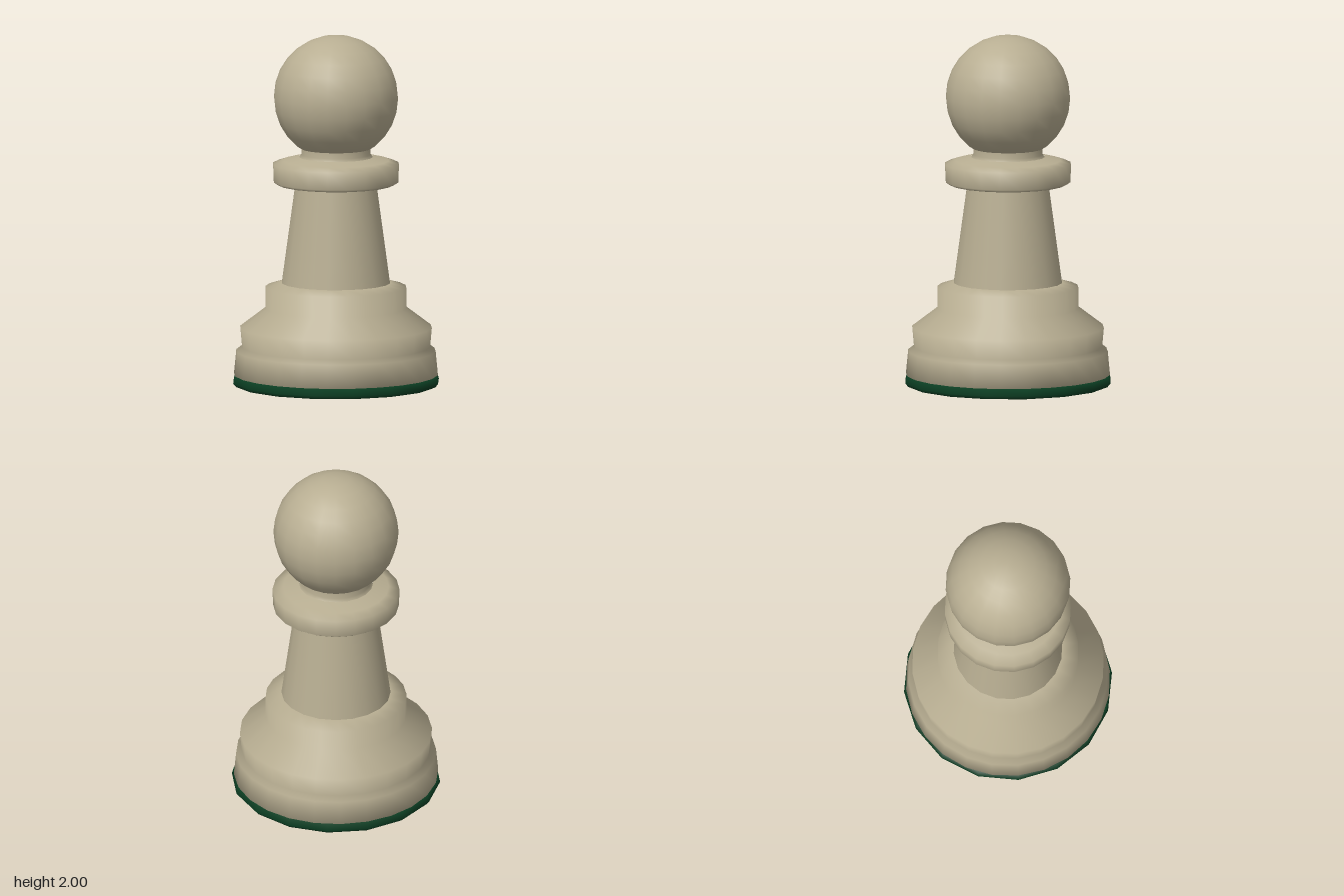
import * as THREE from 'three';

export function createModel() {
  const model = new THREE.Group();
  const ivory = new THREE.MeshStandardMaterial({ color: 0xb8ae92 });
  ivory.name = 'ivory';
  const felt = new THREE.MeshStandardMaterial({ color: 0x0b3d22 });
  felt.name = 'greenFelt';

  // Turned part from a bottom-to-top list of [radius, height]
  const turned = (name, profile, sides, material) => {
    const points = profile.map(([r, y]) => new THREE.Vector2(r, y));
    const mesh = new THREE.Mesh(new THREE.LatheGeometry(points, sides), material);
    mesh.name = name;
    model.add(mesh);
    return mesh;
  };

  // Felt pad, closed underneath
  turned('feltPad', [[0, 0], [0.575, 0], [0.592, 0.02], [0.58, 0.06], [0.5, 0.06]], 16, felt);

  // Stepped base
  turned('base', [
    [0.5, 0.055], [0.58, 0.06], [0.567, 0.195], [0.535, 0.22], [0.545, 0.33],
    [0.4, 0.44], [0.4, 0.56], [0.31, 0.585], [0.25, 0.585],
  ], 24, ivory);

  // Tapered stem
  turned('stem', [[0.31, 0.58], [0.232, 1.15]], 20, ivory);

  // Collar ring
  turned('collar', [
    [0.2, 1.145], [0.335, 1.15], [0.357, 1.165], [0.36, 1.265], [0.3, 1.285], [0.21, 1.305],
  ], 20, ivory);

  // Short neck under the head
  turned('neck', [[0.21, 1.3], [0.197, 1.32], [0.2, 1.38]], 20, ivory);

  // Round head
  const head = new THREE.Mesh(new THREE.SphereGeometry(0.355, 20, 14), ivory);
  head.name = 'head';
  head.position.y = 1.645;
  model.add(head);

  return model;
}
